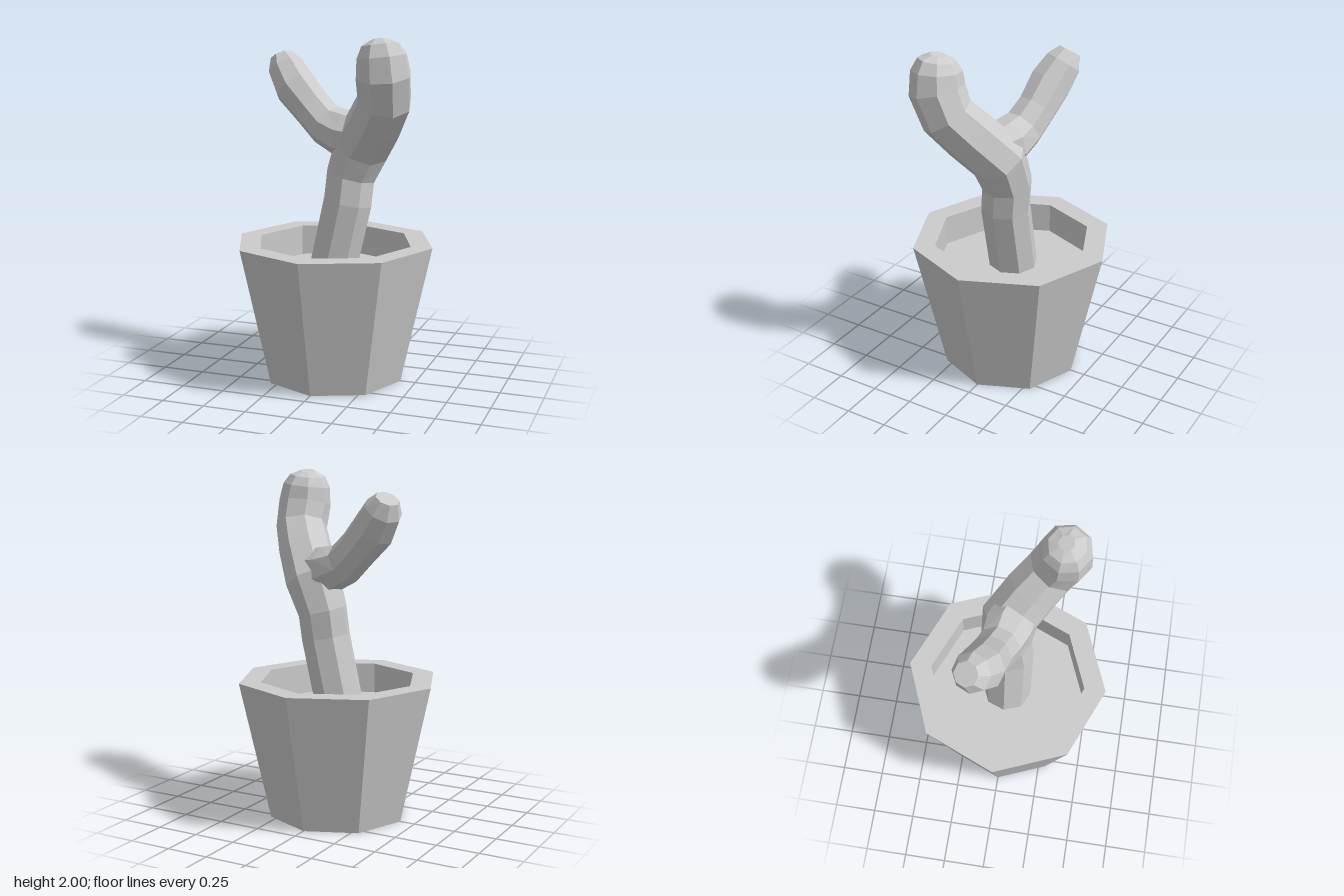
import * as THREE from 'three';

const SIDES = 8;
const material = new THREE.MeshStandardMaterial({ color: 0xcccccc, flatShading: true });

// Sweeps an octagonal ring along [x, y, z, radius] stations and caps both ends.
function limb(name, stations) {
  const centres = stations.map(([x, y, z]) => new THREE.Vector3(x, y, z));
  const last = stations.length - 1;
  const positions = [];
  const index = [];
  const previous = new THREE.Vector3(0, 1, 0);
  const side = new THREE.Vector3(1, 0, 0);
  const turn = new THREE.Quaternion();
  centres.forEach((c, i) => {
    const tangent = centres[Math.min(i + 1, last)].clone()
      .sub(centres[Math.max(i - 1, 0)]).normalize();
    // Carry the ring's orientation along the bend without twisting
    side.applyQuaternion(turn.setFromUnitVectors(previous, tangent));
    previous.copy(tangent);
    const across = new THREE.Vector3().crossVectors(tangent, side);
    for (let j = 0; j < SIDES; j++) {
      const a = (j / SIDES) * Math.PI * 2;
      const p = c.clone()
        .addScaledVector(side, Math.cos(a) * stations[i][3])
        .addScaledVector(across, Math.sin(a) * stations[i][3]);
      positions.push(p.x, p.y, p.z);
    }
  });
  for (let i = 0; i < last; i++) {
    for (let j = 0; j < SIDES; j++) {
      const a = i * SIDES + j;
      const b = i * SIDES + ((j + 1) % SIDES);
      index.push(a, b, b + SIDES, a, b + SIDES, a + SIDES);
    }
  }
  // End caps
  for (let j = 1; j < SIDES - 1; j++) {
    index.push(0, j + 1, j);
    const e = last * SIDES;
    index.push(e, e + j, e + j + 1);
  }
  const geometry = new THREE.BufferGeometry();
  geometry.setAttribute('position', new THREE.Float32BufferAttribute(positions, 3));
  geometry.setIndex(index);
  geometry.computeVertexNormals();
  const mesh = new THREE.Mesh(geometry, material);
  mesh.name = name;
  return mesh;
}

export function createModel() {
  const model = new THREE.Group();
  model.name = 'pottedCactus';

  // Tapered pot with a thick rim, straight inner wall and flat soil
  const soilHeight = 0.63;
  const profile = [[0, 0], [0.41, 0], [0.59, 0.81], [0.462, 0.81], [0.462, soilHeight]]
    .map(([r, y]) => new THREE.Vector2(r, y));
  const pot = new THREE.Mesh(new THREE.LatheGeometry(profile, SIDES), material);
  pot.name = 'pot';
  model.add(pot);

  const soil = new THREE.Mesh(new THREE.CircleGeometry(0.462, SIDES), material);
  soil.rotation.x = -Math.PI / 2;
  soil.position.y = soilHeight;
  soil.name = 'soil';
  model.add(soil);

  const cactus = new THREE.Group();
  cactus.name = 'cactus';
  // Stem running up into the taller arm, leaning left and forward
  cactus.add(limb('stemAndTallArm', [
    [-0.015, 0.62, 0, 0.143],
    [0.08, 1.05, -0.004, 0.145],
    [0.092, 1.2, -0.02, 0.146],
    [0.16, 1.37, -0.01, 0.163],
    [0.275, 1.53, 0.1, 0.158],
    [0.358, 1.66, 0.195, 0.152],
    [0.367, 1.8, 0.25, 0.155],
    [0.358, 1.905, 0.255, 0.14],
    [0.35, 1.965, 0.255, 0.105],
    [0.347, 1.992, 0.25, 0.045],
  ]));
  // Shorter arm branching to the right from a broad level crotch
  cactus.add(limb('shortArm', [
    [0.2, 1.43, 0.03, 0.12],
    [0.06, 1.44, -0.01, 0.14],
    [-0.06, 1.485, -0.035, 0.122],
    [-0.16, 1.575, -0.065, 0.117],
    [-0.275, 1.695, -0.09, 0.127],
    [-0.35, 1.8, -0.13, 0.11],
    [-0.385, 1.865, -0.15, 0.068],
  ]));
  model.add(cactus);
  return model;
}
